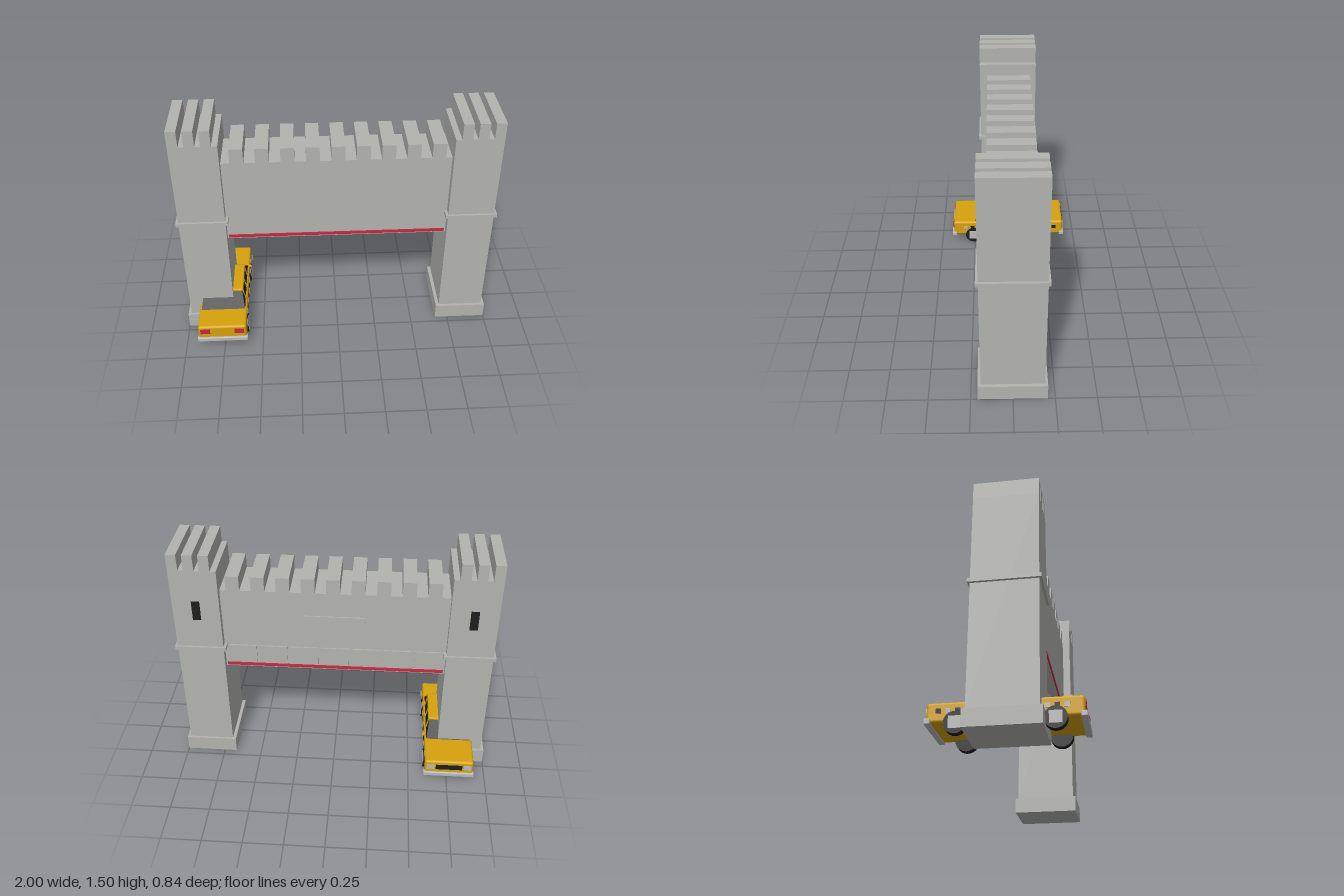
import * as THREE from 'three';
import { RoundedBoxGeometry } from 'three/addons/geometries/RoundedBoxGeometry.js';

const mat = (name, color) => Object.assign(new THREE.MeshStandardMaterial({ color }), { name });

export function createModel() {
  const stone = mat('stone grey', 0xb3b3b0);
  const red = mat('red', 0xc8283f);
  const yellow = mat('taxi yellow', 0xd6a20c);
  const black = mat('black', 0x1e1e1e);
  const chrome = mat('light grey', 0xbababa);

  const model = new THREE.Group();
  model.name = 'gatehouseBridgeWithTaxi';

  const add = (parent, name, geometry, material, x = 0, y = 0, z = 0) => {
    const mesh = new THREE.Mesh(geometry, material);
    mesh.name = name;
    mesh.position.set(x, y, z);
    parent.add(mesh);
    return mesh;
  };
  // Box given by its limits along each axis
  const box = (parent, name, material, [x0, x1], [y0, y1], [z0, z1]) =>
    add(parent, name, new THREE.BoxGeometry(x1 - x0, y1 - y0, z1 - z0), material,
      (x0 + x1) / 2, (y0 + y1) / 2, (z0 + z1) / 2);

  // Towers
  for (const side of [-1, 1]) {
    const tower = new THREE.Group();
    tower.name = side < 0 ? 'rightTower' : 'leftTower';
    tower.position.x = side * 0.835;
    model.add(tower);
    box(tower, 'towerBase', stone, [-0.165, 0.165], [0, 0.1], [-0.206, 0.208]);
    box(tower, 'towerShaft', stone, [-0.144, 0.144], [0.1, 1.4], [-0.19, 0.19]);
    box(tower, 'towerBand', stone, [-0.16, 0.16], [0.837, 0.861], [-0.203, 0.205]);
    for (let i = -1; i <= 1; i++) {
      const x = side * 0.018 + i * 0.095;
      box(tower, 'towerMerlon', stone, [x - 0.031, x + 0.031], [1.4, 1.503], [-0.19, 0.19]);
    }
    box(tower, 'slitWindow', black, [-0.025, 0.025], [1.06, 1.19], [-0.195, -0.189]);
  }

  // Bridge wall between the towers
  const bridge = new THREE.Group();
  bridge.name = 'bridge';
  model.add(bridge);
  box(bridge, 'bridgeWall', stone, [-0.692, 0.692], [0.69, 1.25], [-0.148, 0.14]);
  for (let i = 0; i < 9; i++) {
    const x = 0.008 + (i - 4) * 0.151;
    box(bridge, 'bridgeMerlon', stone, [x - 0.041, x + 0.041], [1.25, 1.345], [-0.148, 0.14]);
  }
  box(bridge, 'frontStripe', red, [-0.682, 0.682], [0.7, 0.719], [0.139, 0.147]);
  box(bridge, 'backStripe', red, [-0.682, 0.682], [0.7, 0.719], [-0.155, -0.147]);
  for (let i = -3; i <= 3; i++) {
    const x = i * 0.193 - 0.005;
    box(bridge, 'backPanel', stone, [x - 0.085, x + 0.085], [0.73, 0.855], [-0.156, -0.147]);
  }
  box(bridge, 'backPlaque', stone, [-0.19, 0.19], [0.94, 1.09], [-0.156, -0.147]);

  // Taxi, nose towards -z
  const car = new THREE.Group();
  car.name = 'taxi';
  car.position.x = -0.758;
  model.add(car);
  add(car, 'carBody', new RoundedBoxGeometry(0.312, 0.11, 0.816, 3, 0.015), yellow, 0, 0.12, 0);

  // Cabin: a box whose top is pulled in to make sloping glass
  const [yLow, yHigh] = [0.17, 0.266];
  const cabin = new THREE.BoxGeometry(1, 1, 1);
  const p = cabin.attributes.position;
  for (let i = 0; i < p.count; i++) {
    const top = p.getY(i) > 0;
    const back = p.getZ(i) > 0;
    p.setXYZ(i, Math.sign(p.getX(i)) * (top ? 0.126 : 0.144), top ? yHigh : yLow,
      back ? (top ? 0.155 : 0.25) : (top ? -0.09 : -0.2));
  }
  cabin.computeVertexNormals();
  add(car, 'cabinGlass', cabin, black);
  add(car, 'roof', new RoundedBoxGeometry(0.268, 0.022, 0.262, 2, 0.008), yellow, 0, 0.264, 0.033);

  for (const side of [-1, 1]) {
    // Door pillars lie along the sloping side glass
    for (const z of [0.145, 0.03, -0.085]) {
      const pillar = add(car, 'doorPillar', new THREE.BoxGeometry(0.008, 0.095, 0.014), yellow,
        side * 0.136, 0.217, z);
      pillar.rotation.z = side * 0.185;
    }
    add(car, 'wingMirror', new RoundedBoxGeometry(0.026, 0.018, 0.016, 2, 0.005), yellow,
      side * 0.16, 0.192, -0.17);

    // Chequered strip
    for (let i = 0; i < 14; i++) {
      add(car, 'chequer', new THREE.BoxGeometry(0.006, 0.026, 0.028), i % 2 ? black : chrome,
        side * 0.156, 0.127, 0.32 - i * 0.051);
    }

    // Wheels with square hub plates
    for (const z of [0.26, -0.256]) {
      const tyre = add(car, 'tyre', new THREE.CylinderGeometry(0.061, 0.061, 0.042, 24), black,
        side * 0.14, 0.061, z);
      tyre.rotation.z = Math.PI / 2;
      add(car, 'hubPlate', new THREE.BoxGeometry(0.008, 0.068, 0.068), chrome, side * 0.16, 0.062, z);
    }

    add(car, 'tailLight', new THREE.BoxGeometry(0.062, 0.036, 0.009), red, side * 0.11, 0.137, 0.408);
    add(car, 'headlight', new THREE.BoxGeometry(0.05, 0.036, 0.009), chrome, side * 0.118, 0.13, -0.408);
  }
  add(car, 'grille', new THREE.BoxGeometry(0.17, 0.036, 0.008), black, 0, 0.13, -0.408);
  for (const z of [-0.402, 0.404]) {
    add(car, 'bumper', new RoundedBoxGeometry(0.326, 0.032, 0.034, 2, 0.006), chrome, 0, 0.073, z);
  }
  return model;
}
